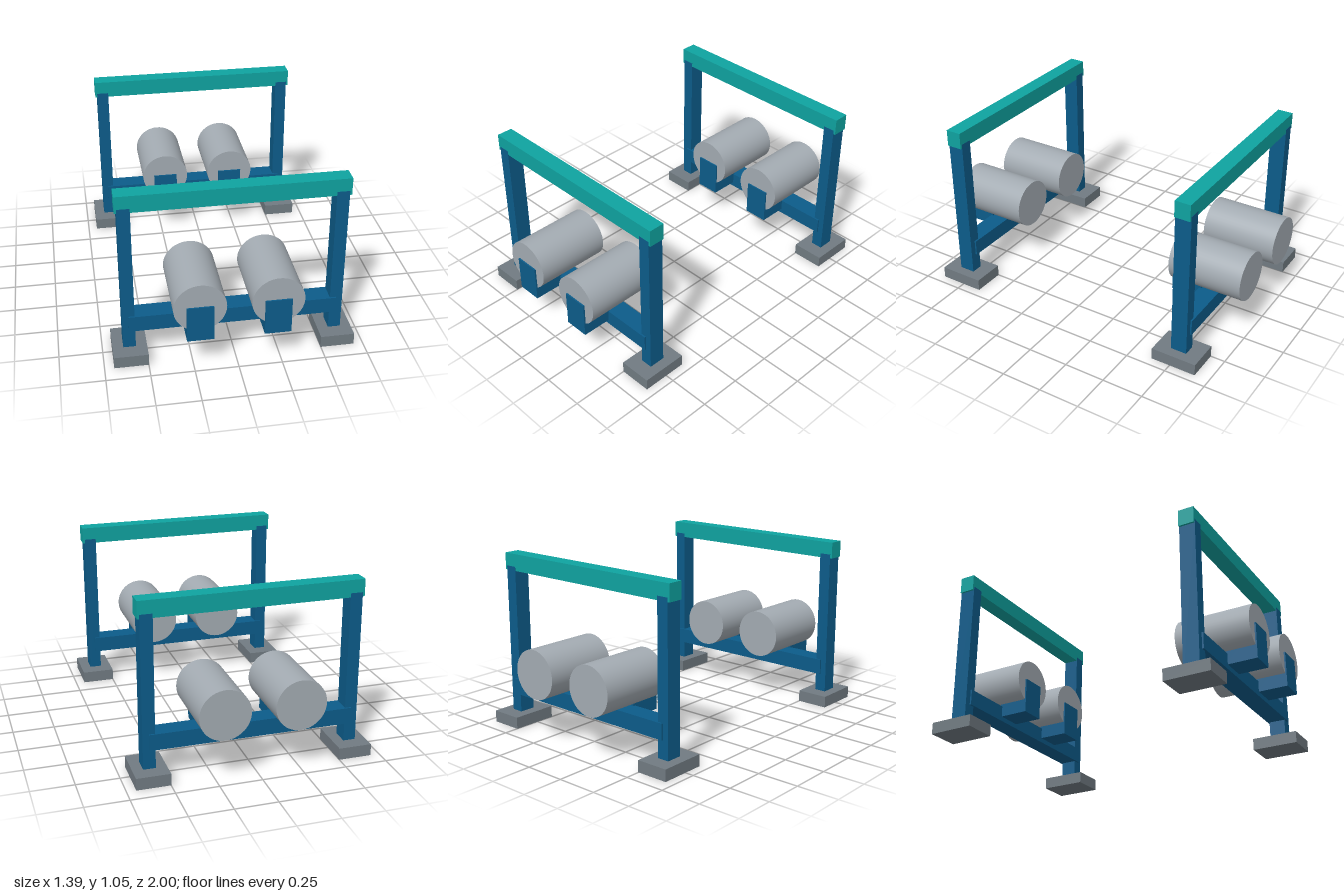
import * as THREE from 'three';

const material = (name, color) => {
  const m = new THREE.MeshStandardMaterial({ color });
  m.name = name;
  return m;
};

export function createModel() {
  const teal = material('teal', 0x0fa3a0);
  const blue = material('blue', 0x0c5c8a);
  const lightGrey = material('lightGrey', 0xa3abb2);
  const darkGrey = material('darkGrey', 0x717b82);

  const add = (parent, name, geometry, mat, x, y, z) => {
    const mesh = new THREE.Mesh(geometry, mat);
    mesh.name = name;
    mesh.position.set(x, y, z);
    parent.add(mesh);
  };
  const box = (w, h, d) => new THREE.BoxGeometry(w, h, d);

  // One portal frame, centred on its own z = 0
  function createFrame(name) {
    const frame = new THREE.Group();
    frame.name = name;

    add(frame, 'topBeam', box(1.292, 0.101, 0.096), teal, 0, 0.998, 0);
    add(frame, 'crossBeam', box(1.196, 0.096, 0.118), blue, 0, 0.232, 0);

    for (const [side, s] of [['left', 1], ['right', -1]]) {
      add(frame, side + 'Foot', box(0.197, 0.071, 0.278), darkGrey, s * 0.597, 0.0355, 0);
      // Posts stand a hair proud of the top beam
      add(frame, side + 'Post', box(0.072, 0.968, 0.098), blue, s * 0.598, 0.488, 0);

      // Drum lying along z, with its bracket on the front
      const drum = new THREE.CylinderGeometry(0.148, 0.148, 0.456, 48).rotateX(Math.PI / 2);
      add(frame, side + 'Drum', drum, lightGrey, s * 0.218, 0.421, 0);
      add(frame, side + 'Bracket', box(0.151, 0.217, 0.19), blue, s * 0.218, 0.321, 0.142);
    }
    return frame;
  }

  const model = new THREE.Group();
  model.name = 'drumStands';
  for (const [name, z] of [['frontFrame', 0.763], ['rearFrame', -0.772]]) {
    const frame = createFrame(name);
    frame.position.z = z;
    model.add(frame);
  }
  return model;
}
